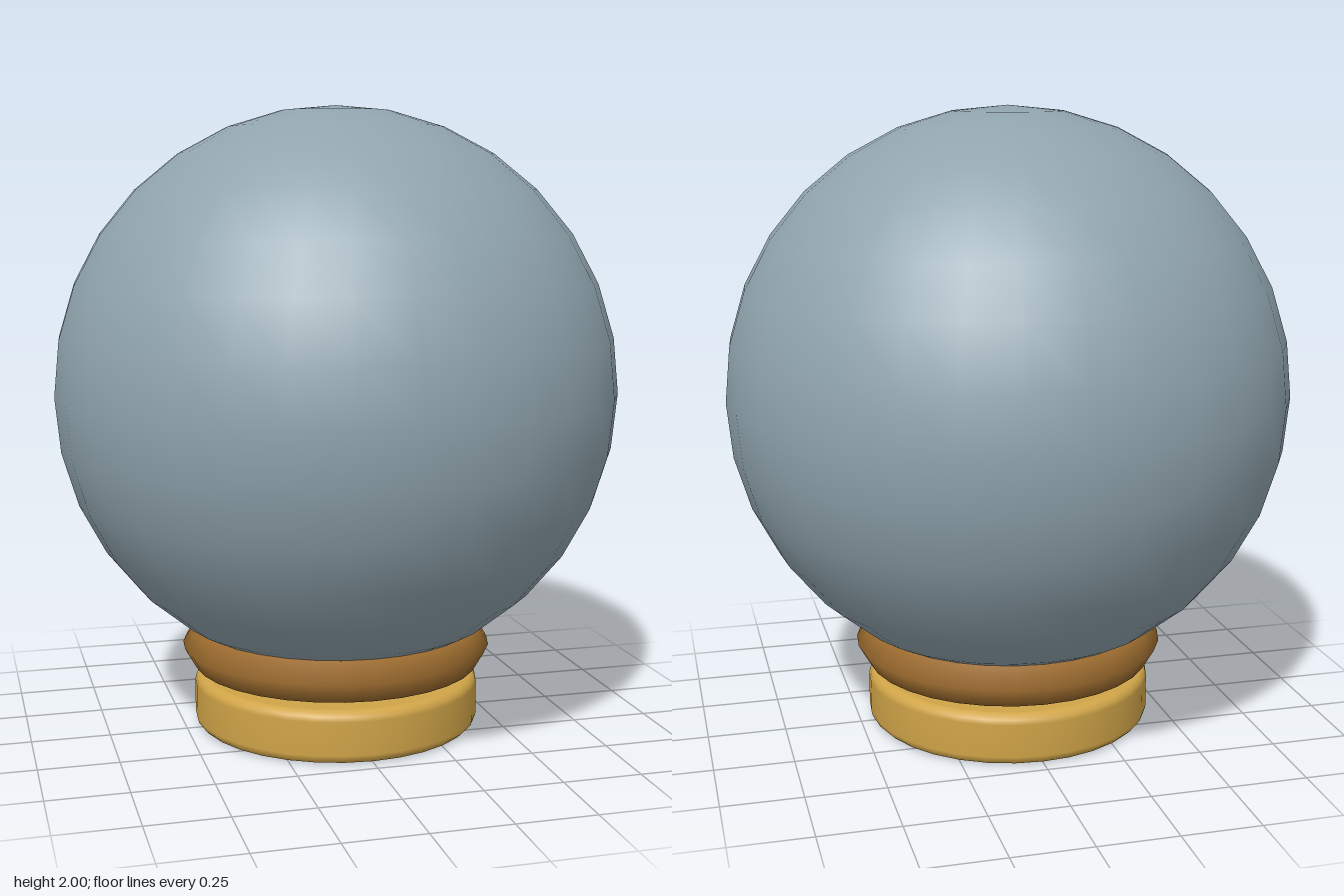
import * as THREE from 'three';

export function createModel() {
  const model = new THREE.Group();
  const paint = (name, color) => {
    const m = new THREE.MeshStandardMaterial({ color });
    m.name = name;
    return m;
  };
  const grey = paint('blue grey', 0x90a4ae);
  const bronze = paint('bronze', 0x9a6a2e);
  const gold = paint('gold', 0xd0a448);

  const add = (name, geometry, material, y) => {
    const mesh = new THREE.Mesh(geometry, material);
    mesh.name = name;
    mesh.position.y = y;
    model.add(mesh);
    return mesh;
  };

  // Large ball
  add('globe', new THREE.SphereGeometry(0.9, 32, 16), grey, 1.1);

  // Six-sided ring cradling the ball
  add('collarRing', new THREE.TorusGeometry(0.428, 0.075, 6, 32).rotateX(Math.PI / 2), bronze, 0.265);

  // Round base with bevelled rims
  const radius = 0.465, height = 0.167, bevel = 0.03, steps = 3;
  const profile = [];
  for (const [cy, start] of [[bevel, -Math.PI / 2], [height - bevel, 0]]) {
    for (let i = 0; i <= steps; i++) {
      const a = start + (i / steps) * Math.PI / 2;
      profile.push(new THREE.Vector2(radius - bevel + bevel * Math.cos(a), cy + bevel * Math.sin(a)));
    }
  }
  add('baseSide', new THREE.LatheGeometry(profile, 32), gold, 0);
  const cap = new THREE.CircleGeometry(radius - bevel, 32);
  add('baseTop', cap.clone().rotateX(-Math.PI / 2), gold, height);
  add('baseBottom', cap.clone().rotateX(Math.PI / 2), gold, 0);

  return model;
}
